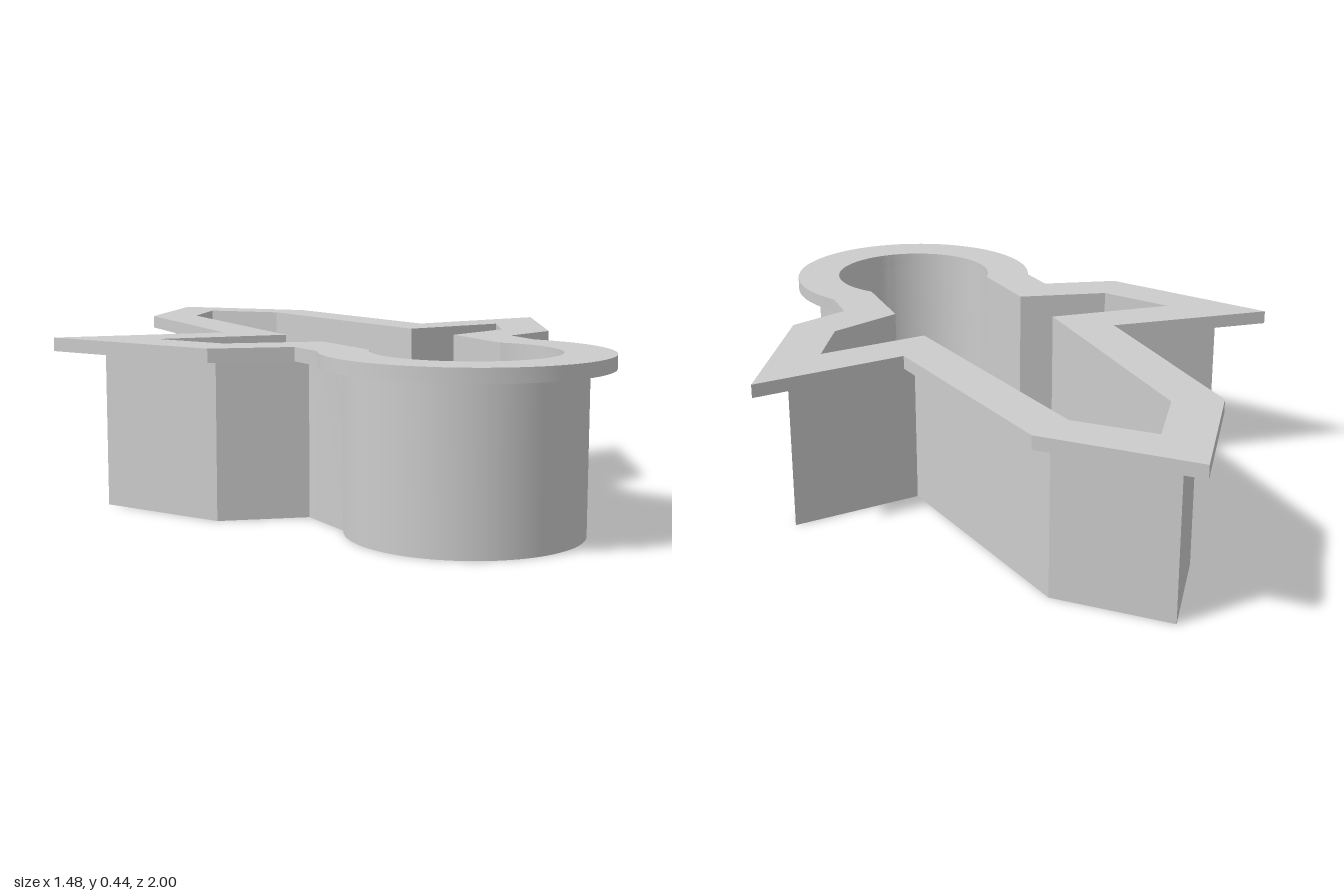
import * as THREE from 'three';
import { toCreasedNormals } from 'three/addons/utils/BufferGeometryUtils.js';

const ARC_STEPS = 64;
const CENTRE = [0.009, 0.649];

// Closed outline in (x, z): straight right side, round front end, straight left side
function outline(right, left, radius) {
  const angleTo = ([x, z]) => Math.atan2(z - CENTRE[1], x - CENTRE[0]);
  const start = angleTo(right[right.length - 1]);
  let end = angleTo(left[0]);
  if (end < start) end += Math.PI * 2;
  const arc = [];
  for (let i = 0; i <= ARC_STEPS; i++) {
    const a = start + (end - start) * i / ARC_STEPS;
    arc.push([CENTRE[0] + radius * Math.cos(a), CENTRE[1] + radius * Math.sin(a)]);
  }
  return [...right.slice(0, -1), ...arc, ...left.slice(1)];
}

// Upright ring between two outlines; the hole runs the opposite way round
function ring(outer, inner, y, height) {
  const toVectors = (pts) => pts.map(([x, z]) => new THREE.Vector2(x, -z));
  const shape = new THREE.Shape(toVectors(outer));
  shape.holes.push(new THREE.Path(toVectors(inner).reverse()));
  const geometry = new THREE.ExtrudeGeometry(shape, { depth: height, bevelEnabled: false });
  geometry.rotateX(-Math.PI / 2);
  geometry.translate(0, y, 0);
  return toCreasedNormals(geometry, 0.57);
}

export function createModel() {
  const group = new THREE.Group();
  group.name = 'shapeCutter';
  const grey = new THREE.MeshStandardMaterial({ color: 0xcccccc });
  grey.name = 'grey plastic';

  // Outer edge of the flange, down the right side and back up the left to the tip
  const outer = outline(
    [[0.265, -0.688], [0.324, -0.062], [0.74, -0.102], [0.502, 0.309], [0.333, 0.371], [0.324, 0.489]],
    [[-0.304, 0.486], [-0.304, 0.373], [-0.506, 0.31], [-0.74, -0.141], [-0.292, -0.07], [-0.25, -0.684], [-0.004, -1]],
    0.351);

  // Opening shared by flange and wall
  const inner = outline(
    [[0.147, -0.641], [0.212, 0.071], [0.512, 0.045], [0.417, 0.208], [0.212, 0.283], [0.2, 0.516]],
    [[-0.178, 0.516], [-0.178, 0.283], [-0.419, 0.21], [-0.518, 0.023], [-0.176, 0.072], [-0.128, -0.64], [0, -0.807]],
    0.228);

  // The wall is half as wide as the flange
  const middle = outer.map(([x, z], i) => [(x + inner[i][0]) / 2, (z + inner[i][1]) / 2]);

  const wall = new THREE.Mesh(ring(middle, inner, 0, 0.4), grey);
  wall.name = 'cutterWall';
  const flange = new THREE.Mesh(ring(outer, inner, 0.4, 0.035), grey);
  flange.name = 'topFlange';
  group.add(wall, flange);
  return group;
}
